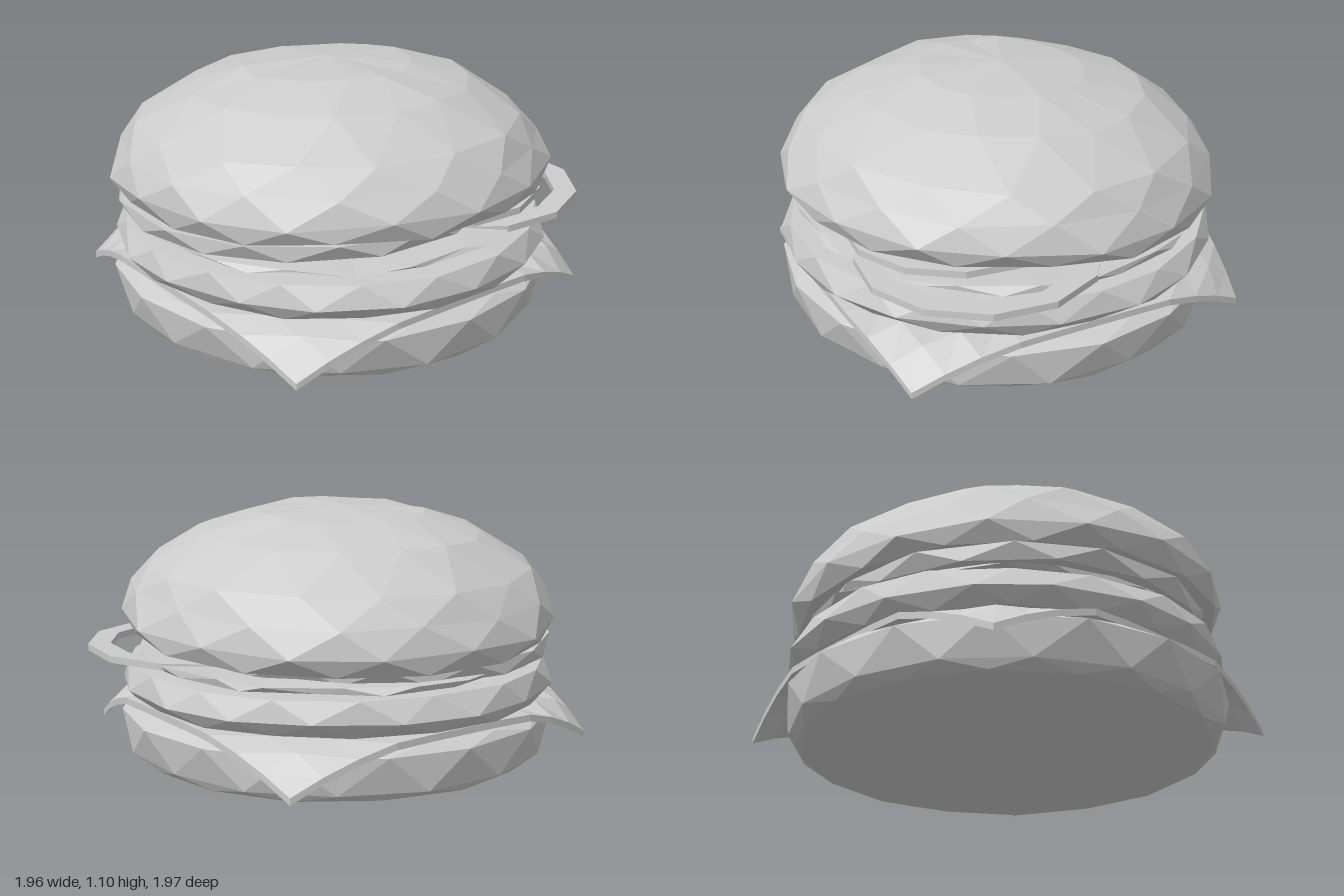
import * as THREE from 'three';

const material = new THREE.MeshStandardMaterial({ color: 0xcccccc, flatShading: true });

// Repeatable noise in -1..1 from a position, so shared corners move together
function noise(x, y, z, seed) {
  const s = Math.sin(Math.round(x * 197) * 12.99 + Math.round(y * 197) * 78.23 + Math.round(z * 197) * 37.72 + seed) * 4375.85;
  return (s - Math.floor(s)) * 2 - 1;
}

// Faceted round layer: profile of [radius, y] from bottom to top, alternate rings turned half a side
function layer(name, profile, sides, jitter = 0, lift = 0, seed = 1) {
  const geo = new THREE.LatheGeometry(profile.map(([r, y]) => new THREE.Vector2(r, y)), sides);
  const pos = geo.attributes.position;
  const v = new THREE.Vector3();
  const up = new THREE.Vector3(0, 1, 0);
  for (let i = 0; i < pos.count; i++) {
    v.fromBufferAttribute(pos, i);
    const r = Math.hypot(v.x, v.z);
    if (r < 0.01) continue;
    if (jitter) {
      v.applyAxisAngle(up, (i % profile.length) * Math.PI / sides);
      const { x, y, z } = v;
      const k = 1 + jitter * noise(x, y, z, seed) / r;
      v.set(x * k, y + lift * noise(x, y, z, seed + 5), z * k);
      v.applyAxisAngle(up, jitter * 2 * noise(x, y, z, seed + 9));
    }
    pos.setXYZ(i, v.x, v.y, v.z);
  }
  geo.computeVertexNormals();
  const mesh = new THREE.Mesh(geo, material);
  mesh.name = name;
  return mesh;
}

// Square slice whose overhanging corners fold down
function cheeseSlice() {
  const geo = new THREE.BoxGeometry(1.82, 0.03, 1.82, 10, 1, 10);
  const pos = geo.attributes.position;
  for (let i = 0; i < pos.count; i++) {
    const x = pos.getX(i), z = pos.getZ(i), r = Math.hypot(x, z);
    const over = Math.max(0, r - 0.97);
    if (over > 0) {
      const k = (0.97 + over * 0.52) / r;
      pos.setXYZ(i, x * k, pos.getY(i) - over * 0.55, z * k);
    }
  }
  geo.computeVertexNormals();
  const mesh = new THREE.Mesh(geo, material);
  mesh.name = 'cheeseSlice';
  mesh.position.y = 0.25;
  mesh.rotation.y = -0.16;
  return mesh;
}

// Flat ring with a rectangular section
function onionRing(radius, width, height, x, y, z, tilt) {
  const a = radius - width, h = height / 2;
  const ring = layer('onionRing', [[a, -h], [radius, -h], [radius, h], [a, h], [a, -h]], 12);
  ring.position.set(x, y, z);
  ring.rotation.set(tilt, 0, tilt);
  return ring;
}

export function createModel() {
  const burger = new THREE.Group();
  burger.name = 'burger';

  // Bottom bun
  burger.add(layer('bottomBun', [[0, 0], [0.91, 0], [0.96, 0.04], [0.99, 0.2], [0.93, 0.235], [0, 0.235]], 16, 0.01, 0, 2));

  // Cheese and patty
  burger.add(cheeseSlice());
  burger.add(layer('patty', [[0, 0.265], [0.93, 0.268], [0.985, 0.335], [0.95, 0.425], [0.6, 0.435], [0, 0.435]], 18, 0.012, 0.005, 3));

  // Ruffled lettuce
  burger.add(layer('lettuce', [[0, 0.435], [0.72, 0.445], [0.9, 0.447], [0.91, 0.465], [0.7, 0.475], [0, 0.47]], 20, 0.035, 0.012, 4));

  // Tomato, set towards the front right
  const tomato = layer('tomatoSlice', [[0, -0.035], [0.85, -0.035], [0.87, 0.035], [0, 0.035]], 14, 0.01, 0, 6);
  tomato.position.set(-0.07, 0.51, 0.08);
  tomato.rotation.z = 0.025;
  burger.add(tomato);

  // Onion rings in the gap at the back
  burger.add(onionRing(0.53, 0.1, 0.03, 0.42, 0.465, -0.44, 0.01));
  burger.add(onionRing(0.49, 0.09, 0.03, 0.4, 0.53, -0.24, 0.015));

  // Domed top bun, leaning a little
  const topBun = layer('topBun', [
    [0, -0.05], [0.86, -0.05], [0.955, -0.035], [0.99, 0.04], [0.945, 0.15], [0.86, 0.255],
    [0.64, 0.395], [0.38, 0.475], [0, 0.505],
  ], 16, 0.014, 0.01, 7);
  topBun.position.y = 0.6;
  topBun.rotation.set(-0.015, 0, 0.043);
  burger.add(topBun);

  return burger;
}
